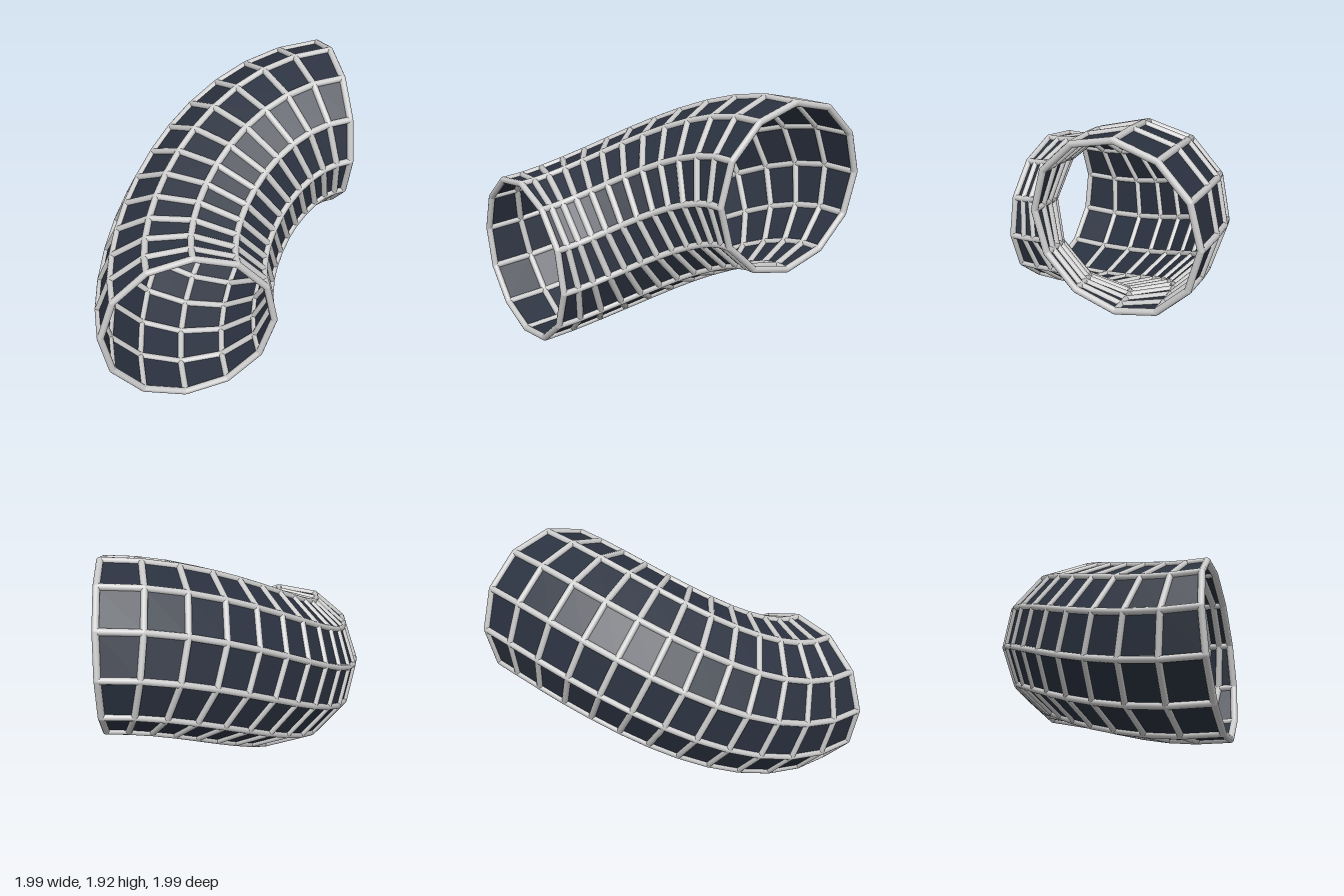
import * as THREE from 'three';
import { mergeGeometries } from 'three/addons/utils/BufferGeometryUtils.js';

const RINGS = 12, SIDES = 12, RADIUS = 0.597, BAR = 0.024;

// Quarter turn that also climbs from the front opening to the side opening
function makePath() {
  const c = 0.975, r = 1.347, k = r * 0.5523, low = 0.633, high = 1.312;
  return new THREE.CubicBezierCurve3(
    new THREE.Vector3(c, high, c - r),
    new THREE.Vector3(c - k, high, c - r),
    new THREE.Vector3(c - r, low, c - k),
    new THREE.Vector3(c - r, low, c)
  );
}

// Round bar between two points
function bar(a, b) {
  const dir = b.clone().sub(a);
  const g = new THREE.CylinderGeometry(BAR, BAR, dir.length(), 10, 1, true);
  g.applyQuaternion(new THREE.Quaternion().setFromUnitVectors(
    new THREE.Vector3(0, 1, 0), dir.normalize()));
  const mid = a.clone().add(b).multiplyScalar(0.5);
  return g.translate(mid.x, mid.y, mid.z);
}

// Small ball that closes the joint between bars
function joint(p) {
  return new THREE.SphereGeometry(BAR, 10, 6).translate(p.x, p.y, p.z);
}

export function createModel() {
  const group = new THREE.Group();
  const skin = new THREE.TubeGeometry(makePath(), RINGS, RADIUS, SIDES, false);

  // Lattice nodes are the corners of the skin
  const pos = skin.attributes.position;
  const node = (i, j) =>
    new THREE.Vector3().fromBufferAttribute(pos, i * (SIDES + 1) + (j % SIDES));

  const hoops = [], stringers = [], joints = [];
  for (let i = 0; i <= RINGS; i++) {
    for (let j = 0; j < SIDES; j++) {
      hoops.push(bar(node(i, j), node(i, j + 1)));
      if (i < RINGS) stringers.push(bar(node(i, j), node(i + 1, j)));
      joints.push(joint(node(i, j)));
    }
  }

  const frameMaterial = new THREE.MeshStandardMaterial({ color: 0xcccccc });
  const panelMaterial = new THREE.MeshStandardMaterial({
    color: 0x2b3240, flatShading: true, side: THREE.DoubleSide });

  const add = (name, geometry, material) => {
    const mesh = new THREE.Mesh(geometry, material);
    mesh.name = name;
    group.add(mesh);
  };
  add('panels', skin, panelMaterial);
  add('hoops', mergeGeometries(hoops), frameMaterial);
  add('stringers', mergeGeometries(stringers), frameMaterial);
  add('joints', mergeGeometries(joints), frameMaterial);
  return group;
}
